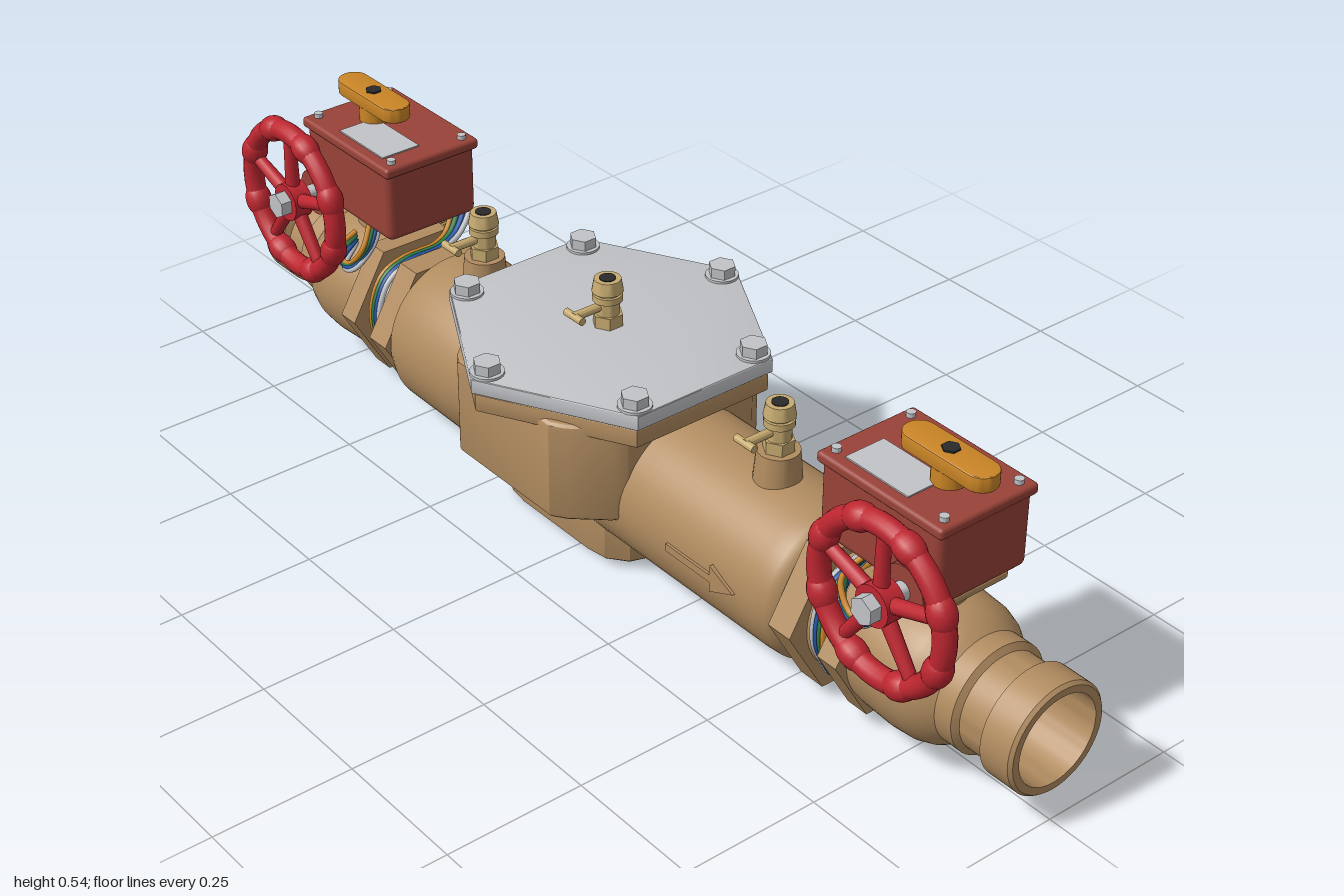
import * as THREE from 'three';
import { toCreasedNormals } from 'three/addons/utils/BufferGeometryUtils.js';
import { RoundedBoxGeometry } from 'three/addons/geometries/RoundedBoxGeometry.js';

const AXIS = 0.152; // height of the pipe axis
const BONNET_X = -0.065;

const mat = (name, color) => {
  const m = new THREE.MeshStandardMaterial({ color });
  m.name = name;
  return m;
};
const M = {
  bronze: mat('bronze', 0xb18c60),
  brass: mat('brass', 0xc6aa70),
  housing: mat('housing red', 0x984238),
  wheel: mat('wheel red', 0xbe2630),
  steel: mat('steel', 0xc2c3c7),
  orange: mat('orange', 0xca8526),
  black: mat('black', 0x2a2a2a),
  blue: mat('wire blue', 0x2456a8),
  green: mat('wire green', 0x2f7a45),
};

function add(parent, name, geo, material, x = 0, y = 0, z = 0) {
  const mesh = new THREE.Mesh(geo, material);
  mesh.name = name;
  mesh.position.set(x, y, z);
  parent.add(mesh);
  return mesh;
}
const crease = (g, a = 0.55) => toCreasedNormals(g, a);
const cyl = (r0, r1, h, n = 24) => crease(new THREE.CylinderGeometry(r0, r1, h, n));
const cylX = (r, h, n = 24) => cyl(r, r, h, n).rotateZ(Math.PI / 2);
const cylZ = (r, h, n = 24) => cyl(r, r, h, n).rotateX(Math.PI / 2);

// Solid of revolution about the x axis from [x, r] pairs; s = -1 mirrors it
function latheX(profile, s = 1) {
  const pts = profile.map(([x, r]) => new THREE.Vector2(r, x * s));
  if (s < 0) pts.reverse();
  return crease(new THREE.LatheGeometry(pts, 56).rotateZ(-Math.PI / 2));
}

// Vertical prism with bevelled edges from an [x, z] outline
function prism(outline, y0, y1, b) {
  const shape = new THREE.Shape(outline.map(([x, z]) => new THREE.Vector2(x, z)));
  const g = new THREE.ExtrudeGeometry(shape, {
    depth: y1 - y0 - 2 * b, bevelEnabled: b > 0, bevelThickness: b,
    bevelSize: b, bevelOffset: -b, bevelSegments: 3,
  });
  return crease(g.rotateX(-Math.PI / 2).translate(0, y0 + b, 0), 0.5);
}
// Outline symmetric in x and z from the points of its first quadrant
const fourWay = (q) => {
  const half = [...q, ...[...q].reverse().map(([x, z]) => [-x, z])];
  return [...half, ...half.map(([x, z]) => [-x, -z])];
};
const hexPlan = (k) => [[0.257, -0.142], [0.257, 0.142], [0, 0.283], [-0.257, 0.142], [-0.257, -0.142], [0, -0.283]]
  .map(([x, z]) => [x * k, z * k]);

// Small test valve with a square stem and a T handle
function testCock(parent, x, y, z) {
  const g = new THREE.Group();
  g.name = 'testCock';
  g.position.set(x, y, z);
  parent.add(g);
  add(g, 'cockBase', cyl(0.027, 0.027, 0.022, 6), M.brass, 0, 0.011, 0);
  add(g, 'cockBody', cyl(0.021, 0.021, 0.05), M.brass, 0, 0.04, 0);
  add(g, 'cockRing', cyl(0.026, 0.026, 0.012), M.brass, 0, 0.053, 0);
  add(g, 'cockTop', cyl(0.023, 0.027, 0.023), M.brass, 0, 0.0755, 0);
  add(g, 'cockPort', cyl(0.014, 0.014, 0.004), M.black, 0, 0.0865, 0);
  add(g, 'handleStem', cylZ(0.008, 0.06, 12), M.brass, 0, 0.038, 0.042);
  add(g, 'handleBar', cylX(0.007, 0.044, 12), M.brass, 0, 0.038, 0.07);
}

function mainBody(root) {
  const g = new THREE.Group();
  g.name = 'mainBody';
  root.add(g);
  add(g, 'barrel', latheX([
    [-0.525, 0], [-0.525, 0.125], [-0.518, 0.139], [-0.5, 0.146], [-0.35, 0.147], [-0.325, 0.143],
    [0.18, 0.14], [0.2, 0.14], [0.47, 0.139], [0.5, 0.137], [0.513, 0.13], [0.52, 0.12], [0.52, 0],
  ]), M.bronze, 0, AXIS, 0);
  add(g, 'foot', prism(fourWay([[0.18, 0.04], [0.165, 0.085], [0.13, 0.112], [0.09, 0.118]]), 0, 0.13, 0.01),
    M.bronze, BONNET_X);
  add(g, 'bonnetNeck', prism(fourWay([[0.212, 0.125], [0.2, 0.15], [0.15, 0.205], [0.125, 0.222]]), 0.132, 0.32, 0.012),
    M.bronze, BONNET_X);
  add(g, 'bonnetFlange', prism(hexPlan(0.975), 0.3, 0.336, 0.005), M.bronze, BONNET_X);
  add(g, 'coverPlate', prism(hexPlan(1), 0.338, 0.366, 0.003), M.steel, BONNET_X);
  add(g, 'gasket', prism(hexPlan(0.95), 0.334, 0.34, 0), M.black, BONNET_X);
  for (const [bx, bz] of [[0, 0.25], [0.228, 0.125], [0.228, -0.125], [0, -0.25], [-0.228, -0.125], [-0.228, 0.125]]) {
    add(g, 'boltWasher', cyl(0.029, 0.029, 0.005), M.steel, BONNET_X + bx, 0.368, bz);
    add(g, 'boltHead', cyl(0.024, 0.024, 0.02, 6), M.steel, BONNET_X + bx, 0.379, bz);
  }
  // Test cocks on the cover and on the two bosses
  testCock(g, BONNET_X, 0.366, 0);
  for (const x of [-0.415, 0.37]) {
    add(g, 'cockBoss', cyl(0.036, 0.042, 0.07), M.bronze, x, 0.305, 0);
    testCock(g, x, 0.34, 0);
  }
  // Raised flow arrow
  const arrow = new THREE.Shape([[0.265, -0.007], [0.375, -0.007], [0.375, -0.025], [0.432, 0], [0.375, 0.025], [0.375, 0.007], [0.265, 0.007]]
    .map(([x, y]) => new THREE.Vector2(x, y)));
  add(g, 'flowArrow', new THREE.ExtrudeGeometry(arrow, { depth: 0.009, bevelEnabled: false }), M.bronze, 0, AXIS + 0.002, 0.135);
}

function handwheel(parent, x) {
  const g = new THREE.Group();
  g.name = 'handwheel';
  g.position.set(x, 0.351, 0.161);
  parent.add(g);
  const R = 0.134;
  add(g, 'rim', new THREE.TorusGeometry(R, 0.019, 14, 56), M.wheel);
  for (let i = 0; i < 8; i++) {
    const a = (i + 0.5) * Math.PI / 4;
    const lump = add(g, 'gripLump', new THREE.SphereGeometry(0.024, 16, 12), M.wheel, R * Math.cos(a), R * Math.sin(a), 0);
    lump.rotation.z = a;
    lump.scale.set(1, 1.4, 1);
  }
  for (let i = 0; i < 5; i++) {
    const a = Math.PI / 2 + i * Math.PI * 2 / 5;
    const spoke = add(g, 'spoke', new THREE.CylinderGeometry(0.011, 0.014, R, 12), M.wheel, R / 2 * Math.cos(a), R / 2 * Math.sin(a), 0);
    spoke.rotation.z = a - Math.PI / 2;
  }
  add(g, 'hub', cylZ(0.035, 0.036), M.wheel);
  add(g, 'hubNut', cylZ(0.024, 0.024, 6), M.steel, 0, 0, 0.027);
  add(g, 'shaft', cylZ(0.016, 0.09), M.steel, 0, 0, -0.05);
  add(g, 'shaftCollar', cylZ(0.043, 0.024), M.housing, 0, 0, -0.056);
}

// Shutoff valve with gear housing at one end; s is the side (+1 or -1)
function endValve(root, s) {
  const g = new THREE.Group();
  g.name = s > 0 ? 'leftEndValve' : 'rightEndValve';
  root.add(g);
  add(g, 'valveBody', latheX([
    [0.66, 0], [0.66, 0.118], [0.69, 0.122], [0.75, 0.125], [0.79, 0.122], [0.815, 0.114], [0.832, 0.103], [0.84, 0.097],
    [0.875, 0.097], [0.882, 0.086], [0.932, 0.086], [0.937, 0.098], [0.994, 0.098],
    [1, 0.093], [1, 0.08], [0.9, 0.078], [0.9, 0],
  ], s), M.bronze, 0, AXIS, 0);
  add(g, 'valveNut', cylX(0.142, 0.042, 6), M.bronze, s * 0.65, AXIS);
  add(g, 'unionNeck', cylX(0.1, 0.08, 40), M.bronze, s * 0.6, AXIS);
  add(g, 'unionRing', cylX(0.112, 0.014, 40), M.bronze, s * 0.578, AXIS);
  add(g, 'unionNut', cylX(0.148, 0.05, 6), M.bronze, s * 0.547, AXIS);
  add(g, 'stem', cyl(0.037, 0.042, 0.07), M.bronze, s * 0.743, 0.285);
  add(g, 'mountPlate', new RoundedBoxGeometry(0.15, 0.016, 0.13, 2, 0.005), M.bronze, s * 0.743, 0.321);

  // Gear housing, lid and screws
  const hx = s * 0.697;
  add(g, 'housing', new RoundedBoxGeometry(0.258, 0.14, 0.19, 3, 0.014), M.housing, hx, 0.398);
  add(g, 'housingLid', new RoundedBoxGeometry(0.27, 0.02, 0.2, 3, 0.007), M.housing, hx, 0.468);
  for (const i of [-1, 1]) for (const j of [-1, 1])
    add(g, 'lidScrew', cyl(0.008, 0.008, 0.008, 12), M.steel, hx + i * 0.115, 0.482, j * 0.076);
  add(g, 'labelPlate', new THREE.BoxGeometry(0.135, 0.003, 0.078), M.steel, s * 0.672, 0.479, 0.04);

  // Position indicator
  add(g, 'indicatorHub', cyl(0.028, 0.028, 0.03), M.orange, s * 0.743, 0.492);
  const bar = [];
  for (let i = 0; i <= 16; i++) {
    const a = -Math.PI / 2 + i * Math.PI / 16;
    bar.push([0.064 + 0.028 * Math.cos(a), 0.028 * Math.sin(a)]);
  }
  add(g, 'indicatorBar', prism([...bar, ...bar.map(([x, z]) => [-x, -z])], 0.506, 0.534, 0.003), M.orange, s * 0.743);
  add(g, 'indicatorCap', cyl(0.015, 0.015, 0.004, 6), M.black, s * 0.743, 0.535);

  handwheel(g, s * 0.778);

  // Switch wires looping over and around the union neck
  [M.steel, M.blue, M.green, M.orange].forEach((m, i) => {
    const o = i * 0.008, x = 0.588 + o;
    const path = new THREE.CatmullRomCurve3([
      [x + 0.03, 0.34, -0.113 + o], [x + 0.025, 0.31, -0.11 + o], [x + 0.01, 0.277, -0.075 + o / 2],
      [x, 0.265, -0.03], [x, 0.262, 0.04], [x, 0.245, 0.085], [x, 0.2, 0.11], [x, 0.14, 0.112], [x, 0.07, 0.08],
    ].map(([px, py, pz]) => new THREE.Vector3(s * px, py, pz)));
    add(g, 'wire', new THREE.TubeGeometry(path, 40, 0.0055, 8), i === 2 ? M.green : m);
    // Blue and green leads hanging in front of the valve neck
    const lead = new THREE.CatmullRomCurve3([
      [0.66, 0.335, 0.05 + o], [0.64, 0.29, 0.085 + o], [0.65 + o, 0.25, 0.12], [0.69 + o, 0.235 + o, 0.118], [0.72, 0.255 + o, 0.07],
    ].map(([px, py, pz]) => new THREE.Vector3(s * px, py, pz)));
    add(g, 'lead', new THREE.TubeGeometry(lead, 30, 0.005, 8), m);
  });
  add(g, 'neckBand', cylX(0.107, 0.03, 40), M.steel, s * 0.602, AXIS);
}

export function createModel() {
  const root = new THREE.Group();
  root.name = 'backflowPreventer';
  mainBody(root);
  endValve(root, 1);
  endValve(root, -1);
  // Extra test cock on the back of one valve
  add(root, 'rearCockBoss', cylZ(0.018, 0.05), M.brass, -0.762, 0.18, -0.112);
  testCock(root, -0.762, 0.155, -0.135);
  return root;
}
